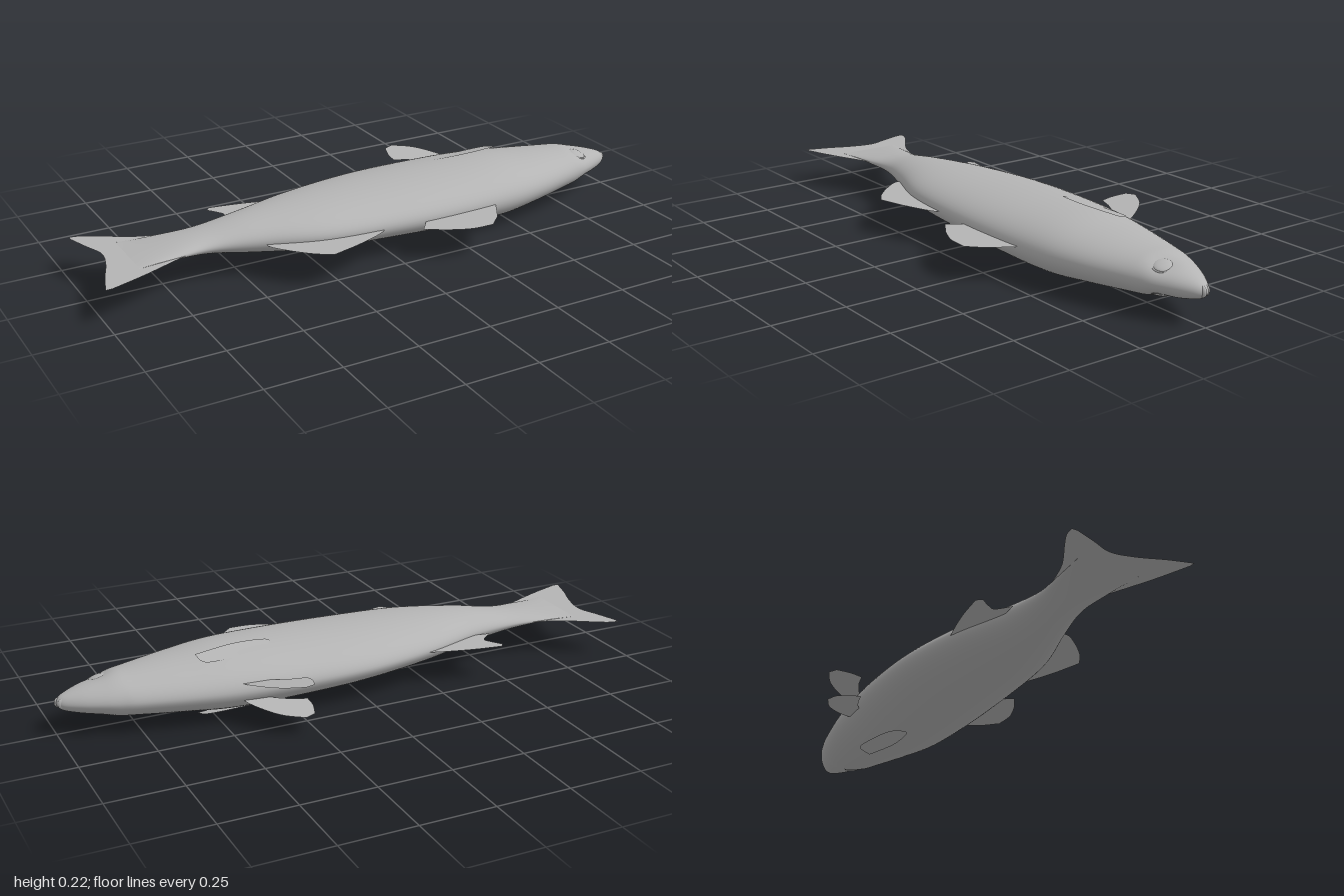
import * as THREE from 'three';

export function createModel() {
  const fish = new THREE.Group();
  fish.name = 'fish';
  const skin = new THREE.MeshStandardMaterial({ name: 'greySkin', color: 0xb4b4b4, side: THREE.DoubleSide });

  const add = (name, geometry, parent = fish) => {
    const mesh = new THREE.Mesh(geometry, skin);
    mesh.name = name;
    parent.add(mesh);
    return mesh;
  };

  // Body, lying on its side: x, belly z, back z, middle y, half thickness
  const stations = [
    [-0.86, -0.11, 0.11, 0.124, 0.001], [-0.72, -0.095, 0.095, 0.124, 0.02],
    [-0.6, -0.085, 0.085, 0.122, 0.037], [-0.45, -0.107, 0.125, 0.122, 0.06],
    [-0.25, -0.17, 0.19, 0.12, 0.077], [0, -0.215, 0.213, 0.117, 0.088],
    [0.25, -0.217, 0.216, 0.113, 0.097], [0.45, -0.198, 0.202, 0.11, 0.1],
    [0.6, -0.173, 0.172, 0.11, 0.087], [0.75, -0.137, 0.126, 0.11, 0.073],
    [0.81, -0.118, 0.106, 0.11, 0.068], [0.86, -0.099, 0.088, 0.11, 0.056],
    [0.92, -0.069, 0.06, 0.108, 0.042], [0.97, -0.036, 0.032, 0.106, 0.027],
    [0.99, -0.016, 0.014, 0.106, 0.014], [0.995, -0.002, 0.001, 0.106, 0.001],
  ];
  const spline = (f) => new THREE.CatmullRomCurve3(stations.map(f), false, 'catmullrom', 0.5);
  const outline = spline((s) => new THREE.Vector3(s[0], s[1], s[2]));
  const girth = spline((s) => new THREE.Vector3(s[0], s[3], s[4]));
  const rows = 120, sides = 64;
  const position = [], index = [];
  for (let i = 0; i <= rows; i++) {
    const o = outline.getPoint(i / rows), g = girth.getPoint(i / rows);
    for (let j = 0; j < sides; j++) {
      const a = (j / sides) * Math.PI * 2, s = Math.sin(a), c = Math.cos(a);
      const z = (o.y + o.z) / 2 + ((o.z - o.y) / 2) * c;
      let bulge = g.z * Math.sign(s) * Math.pow(Math.abs(s), c < 0 ? 1.1 : 1);
      // Shallow eye sockets
      const d2 = (o.x - 0.85) ** 2 + (z - 0.035) ** 2;
      bulge -= Math.sign(s) * Math.min(Math.abs(bulge), 0.008 * Math.exp(-d2 / 0.0016));
      position.push(o.x, g.y + bulge, z);
      if (i < rows) {
        const k = (j + 1) % sides, p = i * sides, q = p + sides;
        index.push(p + j, q + j, q + k, p + j, q + k, p + k);
      }
    }
  }
  const body = new THREE.BufferGeometry();
  body.setAttribute('position', new THREE.Float32BufferAttribute(position, 3));
  body.setIndex(index);
  body.computeVertexNormals();
  add('body', body);

  // Thin fin: curved runs of [x, z] points, joined at sharp corners
  const fin = (name, runs, height) => {
    const shape = new THREE.Shape();
    shape.moveTo(...runs[0][0]);
    runs.forEach((run, n) => {
      if (n > 0) shape.lineTo(...run[0]);
      if (run.length > 1) shape.splineThru(run.slice(1).map((p) => new THREE.Vector2(...p)));
    });
    const geometry = new THREE.ShapeGeometry(shape, 10);
    const v = geometry.attributes.position;
    for (let i = 0; i < v.count; i++) {
      const x = v.getX(i), z = v.getY(i);
      v.setXYZ(i, x, height(z), z);
    }
    // Reverse the winding so the sheet faces up
    geometry.index.array.reverse();
    geometry.computeVertexNormals();
    return add(name, geometry);
  };

  // Forked tail
  fin('tailFin', [
    [[-0.66, -0.085], [-0.72, -0.1], [-0.8, -0.13], [-0.89, -0.185], [-0.94, -0.213], [-0.975, -0.22]],
    [[-0.975, -0.2], [-0.95, -0.125], [-0.925, -0.05], [-0.94, 0.03], [-0.975, 0.12], [-1, 0.2]],
    [[-0.98, 0.2], [-0.86, 0.158], [-0.72, 0.1], [-0.66, 0.083]],
  ], () => 0.124);

  // Fins along the back
  fin('frontBackFin', [
    [[0.12, 0.19], [0.1, 0.215], [0.06, 0.265]],
    [[0.12, 0.305], [0.2, 0.338], [0.28, 0.343]],
    [[0.33, 0.295], [0.38, 0.21], [0.39, 0.18]],
  ], () => 0.115);
  fin('rearBackFin', [
    [[-0.42, 0.1], [-0.44, 0.14], [-0.4, 0.2], [-0.34, 0.262], [-0.285, 0.298]],
    [[-0.19, 0.272], [-0.1, 0.238], [-0.055, 0.21], [-0.05, 0.18]],
  ], () => 0.117);

  // Fin under the belly near the tail
  fin('rearBellyFin', [
    [[-0.2, -0.15], [-0.24, -0.175], [-0.37, -0.212], [-0.485, -0.232]],
    [[-0.5, -0.215], [-0.475, -0.18], [-0.465, -0.15], [-0.51, -0.112]],
    [[-0.43, -0.1], [-0.3, -0.12]],
  ], () => 0.12);

  // Paired fins and eyes, mirrored through the body's middle plane
  for (const [side, sign] of [['upper', 1], ['lower', -1]]) {
    fin(side + 'BellyFin', [
      [[0.42, -0.16], [0.44, -0.19], [0.41, -0.25], [0.36, -0.31], [0.295, -0.348]],
      [[0.26, -0.335], [0.245, -0.285], [0.245, -0.245]],
      [[0.295, -0.23], [0.35, -0.2], [0.38, -0.16]],
    ], (z) => 0.112 + sign * (0.03 - (z + 0.2) * 0.145));
    fin(side + 'SideFin', [
      [[0.55, -0.05], [0.53, -0.1], [0.42, -0.097], [0.33, -0.08], [0.29, -0.045], [0.32, -0.03], [0.42, -0.028], [0.55, -0.05]],
    ], (z) => 0.107 + sign * (0.107 + (z + 0.03) * 0.25));

    const eye = new THREE.Group();
    eye.name = side + 'Eye';
    eye.position.set(0.85, 0.11 + sign * 0.043, 0.035);
    eye.quaternion.setFromUnitVectors(
      new THREE.Vector3(0, 1, 0), new THREE.Vector3(0.22, sign * 0.93, 0.25).normalize());
    add('eyeball', new THREE.SphereGeometry(0.03, 32, 16), eye).scale.y = 0.3;
    add('eyeRim', new THREE.TorusGeometry(0.032, 0.003, 10, 40), eye).rotation.x = Math.PI / 2;
    fish.add(eye);
  }

  // Lips at the tip of the snout
  for (const [name, z, x] of [['upperLip', 0.003, 0.985], ['lowerLip', -0.015, 0.978]]) {
    const lip = add(name, new THREE.SphereGeometry(1, 24, 16));
    lip.scale.set(0.015, 0.018, 0.009);
    lip.position.set(x, 0.106, z);
  }
  return fish;
}
